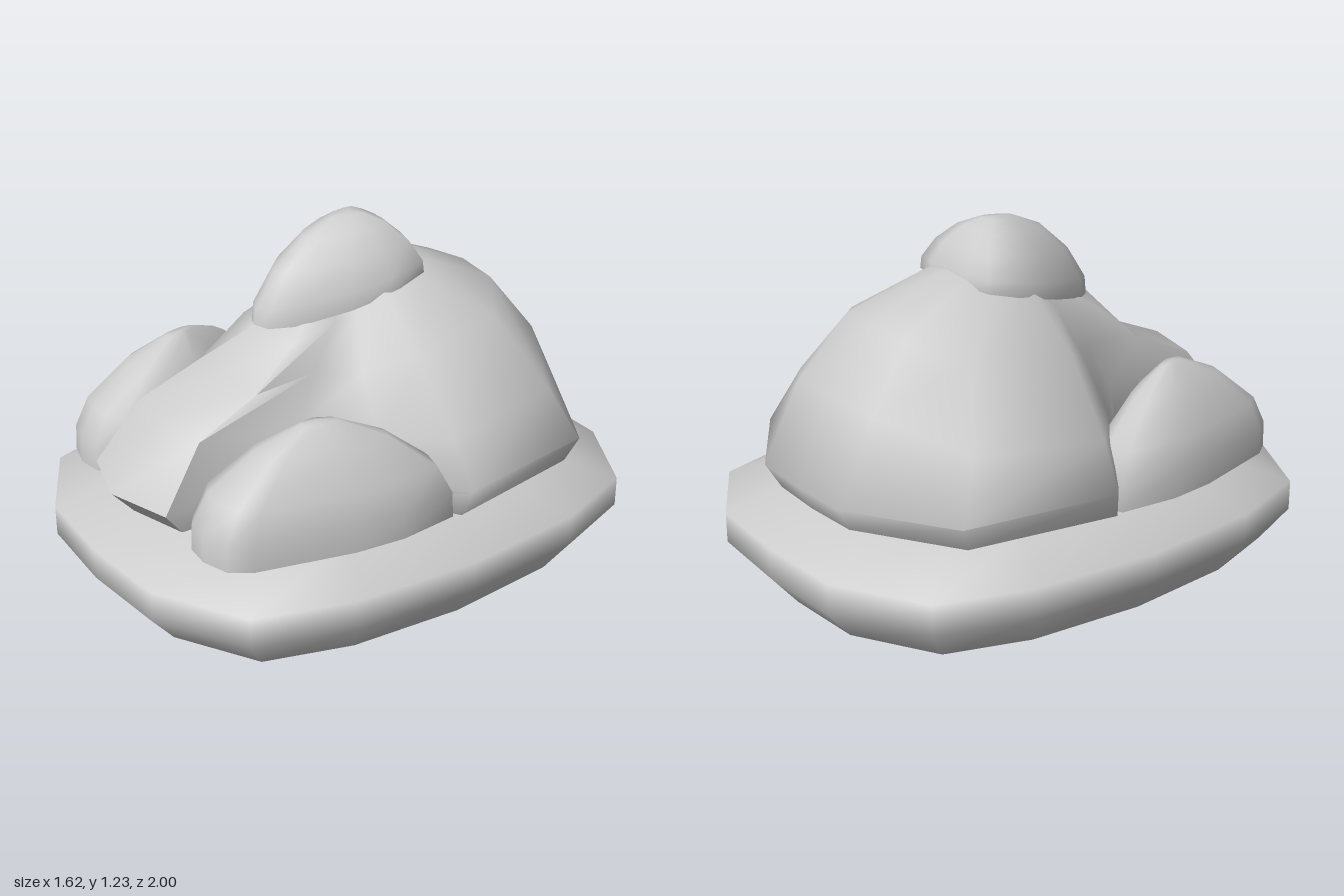
import * as THREE from 'three';
import { toCreasedNormals } from 'three/addons/utils/BufferGeometryUtils.js';

const material = new THREE.MeshStandardMaterial({ color: 0xcccccc, side: THREE.DoubleSide });

// Skin closed rings of [x, y, z] points, bottom to top, with an optional apex closing the top.
function skin(name, rings, apex, crease = Math.PI) {
  const n = rings[0].length;
  const index = [];
  for (let r = 0; r < rings.length - 1; r++) {
    for (let i = 0; i < n; i++) {
      const a = r * n + i, b = r * n + (i + 1) % n;
      index.push(a, a + n, b, b, a + n, b + n);
    }
  }
  const points = rings.flat();
  if (apex) {
    const base = (rings.length - 1) * n;
    for (let i = 0; i < n; i++) index.push(base + i, points.length, base + (i + 1) % n);
    points.push(apex);
  }
  let geometry = new THREE.BufferGeometry();
  geometry.setAttribute('position', new THREE.Float32BufferAttribute(points.flat(), 3));
  geometry.setIndex(index);
  if (crease < Math.PI) geometry = toCreasedNormals(geometry, crease);
  else geometry.computeVertexNormals();
  const mesh = new THREE.Mesh(geometry, material);
  mesh.name = name;
  return mesh;
}

// Complete a back-to-front half ring with its mirror image.
const mirrorRing = (half) => [
  ...half, ...half.slice(1, -1).reverse().map(([x, ...rest]) => [-x, ...rest]),
];

// Rounded cover: an outline shrinking towards an apex; steps are [scale, height fraction].
function dome(name, outline, apex, floorAt, steps) {
  const [ax, ay, az] = apex;
  const rings = steps.map(([s, f]) => outline.map(([x, z]) => {
    const floor = floorAt(z);
    return [ax + (x - ax) * s, floor + (ay - floor) * f, az + (z - az) * s];
  }));
  return skin(name, rings, apex);
}

export function createModel() {
  const group = new THREE.Group();

  // Hollow skirt, open at the bottom and top
  const skirtOutline = mirrorRing([
    [0, -1], [0.34, -0.98], [0.66, -0.795], [0.77, -0.47], [0.81, 0],
    [0.77, 0.46], [0.66, 0.795], [0.34, 0.975], [0, 1],
  ]);
  const skirtProfile = [[0.9, 0], [1, 0.12], [1, 0.23], [0.74, 0.33]];
  group.add(skin('skirt', skirtProfile.map(([s, y]) =>
    skirtOutline.map(([x, z]) => [x * s, y, z * s])), null));

  // Body shell: vertical ribs from the back centre round to the neck front
  const ribs = [
    [[0, 0.33, -0.83], [0, 0.42, -0.88], [0, 0.72, -0.75], [0, 0.93, -0.58], [0, 1.07, -0.25]],
    [[0.22, 0.33, -0.82], [0.24, 0.42, -0.87], [0.23, 0.7, -0.73], [0.18, 0.92, -0.56], [0.11, 1.055, -0.25]],
    [[0.58, 0.33, -0.6], [0.61, 0.42, -0.64], [0.54, 0.62, -0.54], [0.37, 0.87, -0.42], [0.2, 1.01, -0.22]],
    [[0.67, 0.33, -0.05], [0.695, 0.42, -0.07], [0.61, 0.58, -0.06], [0.42, 0.83, -0.05], [0.22, 0.99, -0.05]],
    [[0.45, 0.33, 0.1], [0.47, 0.42, 0.12], [0.42, 0.57, 0.12], [0.3, 0.76, 0.1], [0.2, 0.93, 0.05]],
    [[0.24, 0.33, 0.3], [0.24, 0.42, 0.32], [0.215, 0.58, 0.3], [0.185, 0.75, 0.22], [0.18, 0.91, 0.13]],
    [[0.22, 0.33, 0.78], [0.24, 0.42, 0.85], [0.2, 0.63, 0.69], [0.18, 0.73, 0.45], [0.16, 0.87, 0.28]],
    [[0, 0.33, 0.84], [0, 0.42, 0.92], [0, 0.65, 0.72], [0, 0.75, 0.47], [0, 0.89, 0.35]],
  ];
  const levels = ribs[0].map((_, level) => mirrorRing(ribs.map((rib) => rib[level])));
  group.add(skin('body', levels, [0, 1.05, 0], 1.2));

  // Head cap, pointed forward with a tilted lower rim
  const headOutline = mirrorRing([
    [0, -0.26], [0.11, -0.255], [0.2, -0.23], [0.22, -0.08], [0.19, 0.06],
    [0.11, 0.24], [0.05, 0.31], [0, 0.335],
  ]);
  group.add(dome('head', headOutline, [0, 1.225, -0.06],
    (z) => 1.03 - (z + 0.25) * 0.255,
    [[1.02, -0.02], [1, 0.2], [0.8, 0.55], [0.5, 0.84], [0.2, 0.98]]));

  // Side pods
  const podOutline = [
    [0.56, -0.05], [0.66, -0.02], [0.68, 0.2], [0.66, 0.38], [0.57, 0.72], [0.52, 0.79],
    [0.42, 0.82], [0.33, 0.81], [0.26, 0.76], [0.23, 0.6], [0.24, 0.4], [0.34, 0.2], [0.47, 0],
  ];
  const podSteps = [[1, 0], [0.99, 0.24], [0.87, 0.5], [0.5, 0.82], [0.14, 0.99]];
  for (const side of [1, -1]) {
    const outline = podOutline.map(([x, z]) => [x * side, z]);
    if (side < 0) outline.reverse();
    group.add(dome(side > 0 ? 'leftPod' : 'rightPod', outline,
      [0.44 * side, 0.725, 0.38], () => 0.33, podSteps));
  }

  return group;
}
